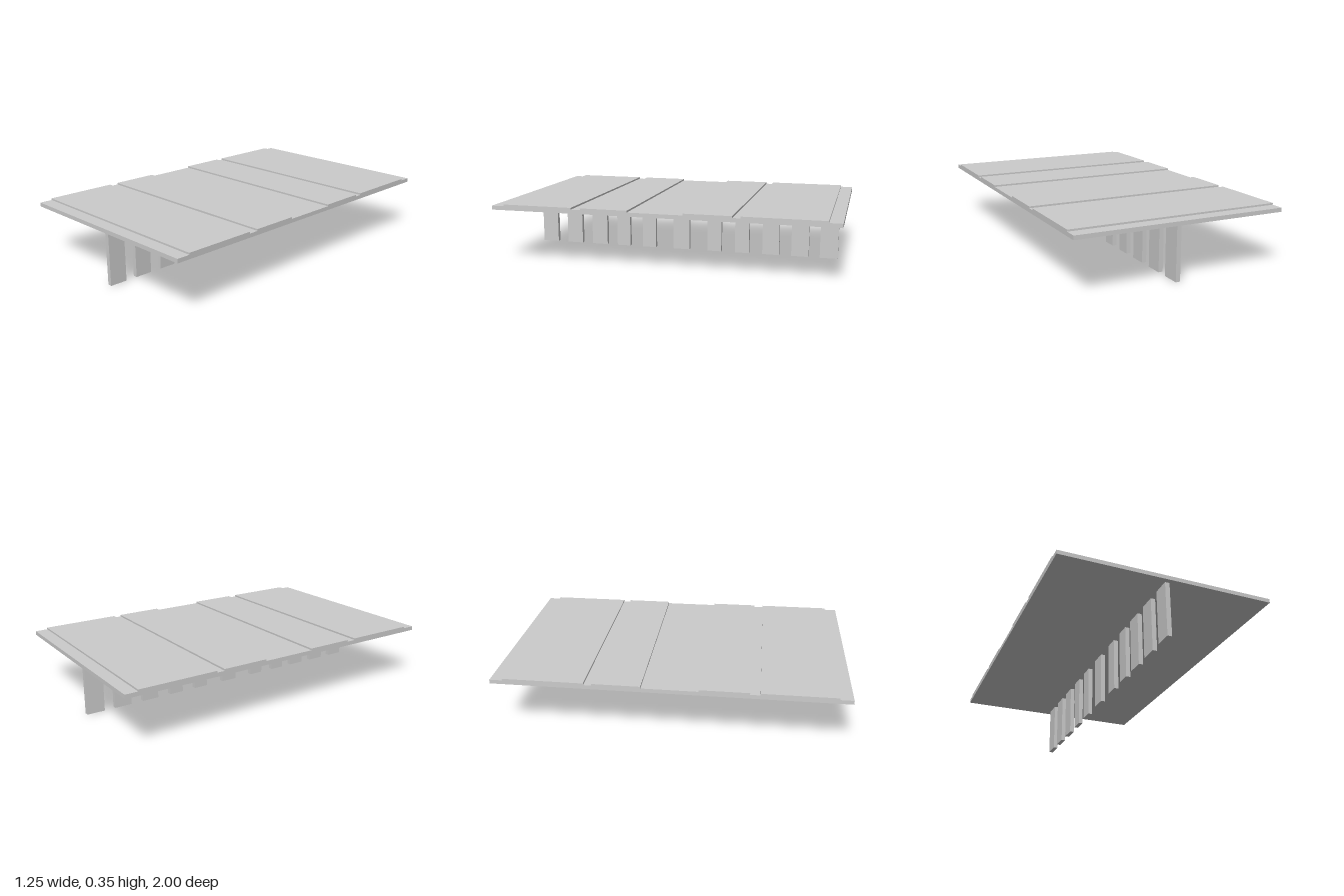
import * as THREE from 'three';

const material = new THREE.MeshStandardMaterial({ color: 0xcccccc });

// Deck outline, slightly skewed: [x, z] of each corner
const BACK_LEFT = [-0.627, -0.985], BACK_RIGHT = [0.585, -1];
const FRONT_LEFT = [-0.602, 0.996], FRONT_RIGHT = [0.624, 0.971];
const Z_BACK = -0.9925, Z_FRONT = 0.9835; // ends along the centre line

const BASE = 0.315, TOP = 0.338, RAISED = 0.348;
// Raised bands across the deck: [front, back] along the centre line
const BANDS = [[0.91, 0.495], [0.44, 0.165], [-0.15, -0.42], [-0.465, -0.92]];

function createDeck() {
  // Stepped side profile, drawn in (-z, y) from front to back
  const pts = [[-Z_FRONT, BASE], [-Z_BACK, BASE], [-Z_BACK, TOP]];
  for (const [front, back] of [...BANDS].reverse()) {
    pts.push([-back, TOP], [-back, RAISED], [-front, RAISED], [-front, TOP]);
  }
  pts.push([-Z_FRONT, TOP]);
  const shape = new THREE.Shape(pts.map(([u, y]) => new THREE.Vector2(u, y)));
  const geo = new THREE.ExtrudeGeometry(shape, { depth: 1, bevelEnabled: false });

  // Fit the extrusion between the four skewed corners
  const pos = geo.attributes.position;
  const { lerp } = THREE.MathUtils;
  for (let i = 0; i < pos.count; i++) {
    const t = (-pos.getX(i) - Z_BACK) / (Z_FRONT - Z_BACK);
    const w = pos.getZ(i);
    const [x, z] = [0, 1].map(k => lerp(
      lerp(BACK_LEFT[k], FRONT_LEFT[k], t),
      lerp(BACK_RIGHT[k], FRONT_RIGHT[k], t), w));
    pos.setXYZ(i, x, pos.getY(i), z);
  }
  geo.computeVertexNormals();
  const deck = new THREE.Mesh(geo, material);
  deck.name = 'deck';
  return deck;
}

// Piers in a row under the deck: [z centre, length along z]
const PIERS = [
  [0.904, 0.102], [0.733, 0.102], [0.561, 0.102], [0.398, 0.087], [0.227, 0.087],
  [0.016, 0.102], [-0.195, 0.087], [-0.368, 0.087], [-0.545, 0.102],
  [-0.722, 0.104], [-0.893, 0.106],
];

function createPiers() {
  const piers = new THREE.Group();
  piers.name = 'piers';
  const slope = 0.0168;
  PIERS.forEach(([z, length], i) => {
    const pier = new THREE.Mesh(new THREE.BoxGeometry(0.026, BASE, length), material);
    pier.position.set(-0.0025 + slope * z, BASE / 2, z);
    pier.rotation.y = Math.atan(slope);
    pier.name = `pier${i + 1}`;
    piers.add(pier);
  });
  return piers;
}

export function createModel() {
  const model = new THREE.Group();
  model.name = 'bridgeSection';
  model.add(createDeck(), createPiers());
  return model;
}
